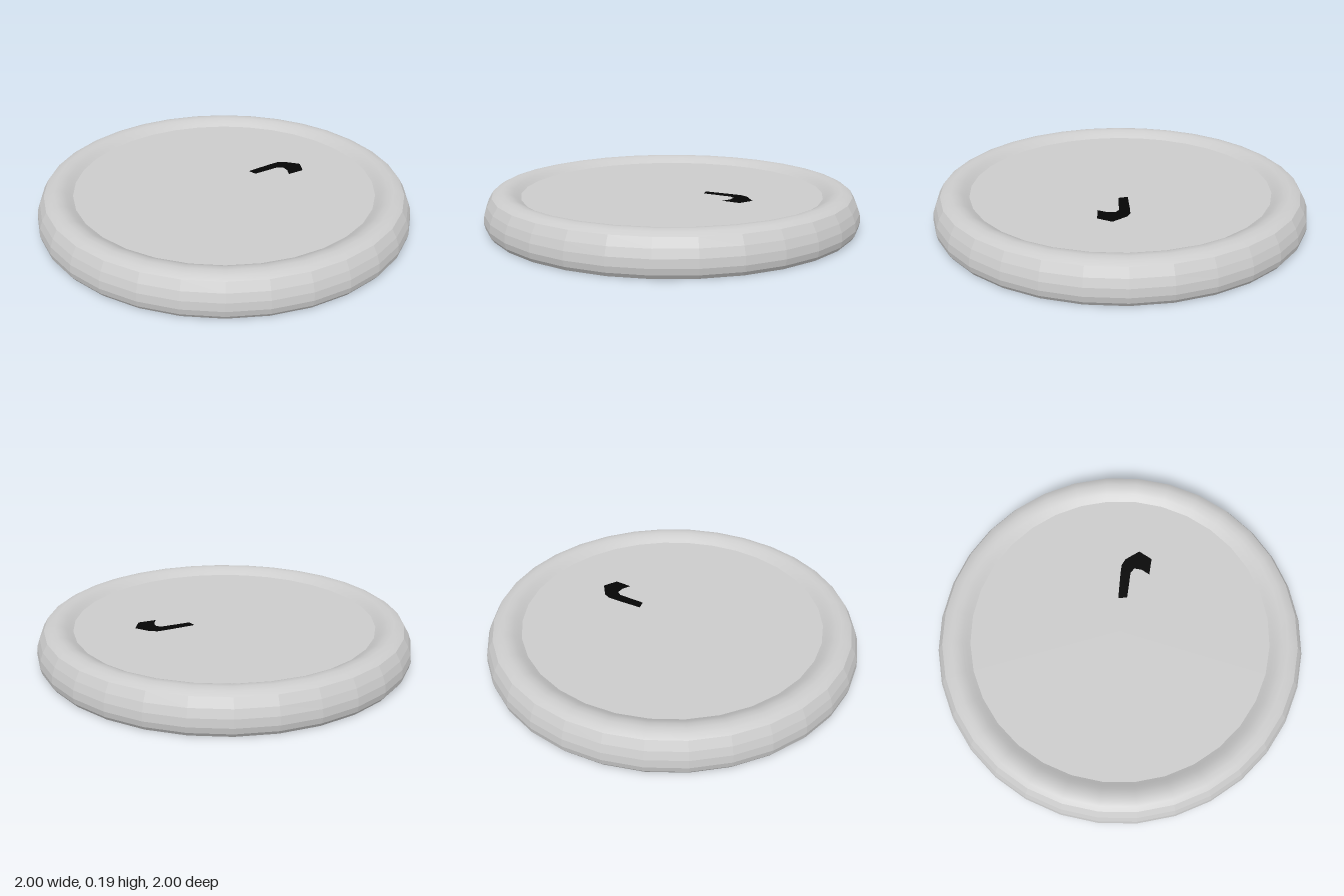
import * as THREE from 'three';

const SEGMENTS = 32;
const FLOOR_Y = 0.155;

// Revolve a profile of [radius, height] pairs
function revolve(name, profile, flatShading) {
  const points = profile.map(([r, y]) => new THREE.Vector2(r, y));
  const mesh = new THREE.Mesh(
    new THREE.LatheGeometry(points, SEGMENTS),
    new THREE.MeshStandardMaterial({ color: 0xcccccc, flatShading })
  );
  mesh.name = name;
  return mesh;
}

export function createModel() {
  const group = new THREE.Group();
  group.name = 'dish';

  // Flat underside
  group.add(revolve('base', [[0, 0], [0.98, 0]], true));

  // Faceted, bulging outer wall
  group.add(revolve('outerWall', [
    [0.98, 0], [0.994, 0.02], [1, 0.05], [0.995, 0.09], [0.98, 0.13], [0.955, 0.172],
  ], true));

  // Smooth rounded rim falling to the floor
  group.add(revolve('rim', [
    [0.955, 0.172], [0.93, 0.187], [0.9, 0.194], [0.87, 0.19],
    [0.845, 0.179], [0.825, 0.166], [0.808, FLOOR_Y],
  ], false));

  // Recessed flat floor
  group.add(revolve('floor', [[0.808, FLOOR_Y], [0, FLOOR_Y]], true));

  // Thin dark hooked patch lying on the floor, outlined as [x, z]
  const outline = [
    [0.18, -0.067], [0.325, -0.1], [0.38, -0.11], [0.42, -0.1], [0.49, -0.04], [0.465, 0.04],
    [0.37, 0.055], [0.385, 0.005], [0.38, -0.035], [0.35, -0.048], [0.2, -0.022],
  ];
  const shape = new THREE.Shape(outline.map(([x, z]) => new THREE.Vector2(x, -z)));
  const patch = new THREE.Mesh(
    new THREE.ShapeGeometry(shape).rotateX(-Math.PI / 2),
    new THREE.MeshStandardMaterial({ color: 0x050505, side: THREE.DoubleSide })
  );
  patch.position.y = FLOOR_Y + 0.003;
  patch.name = 'hookedPatch';
  group.add(patch);

  return group;
}
